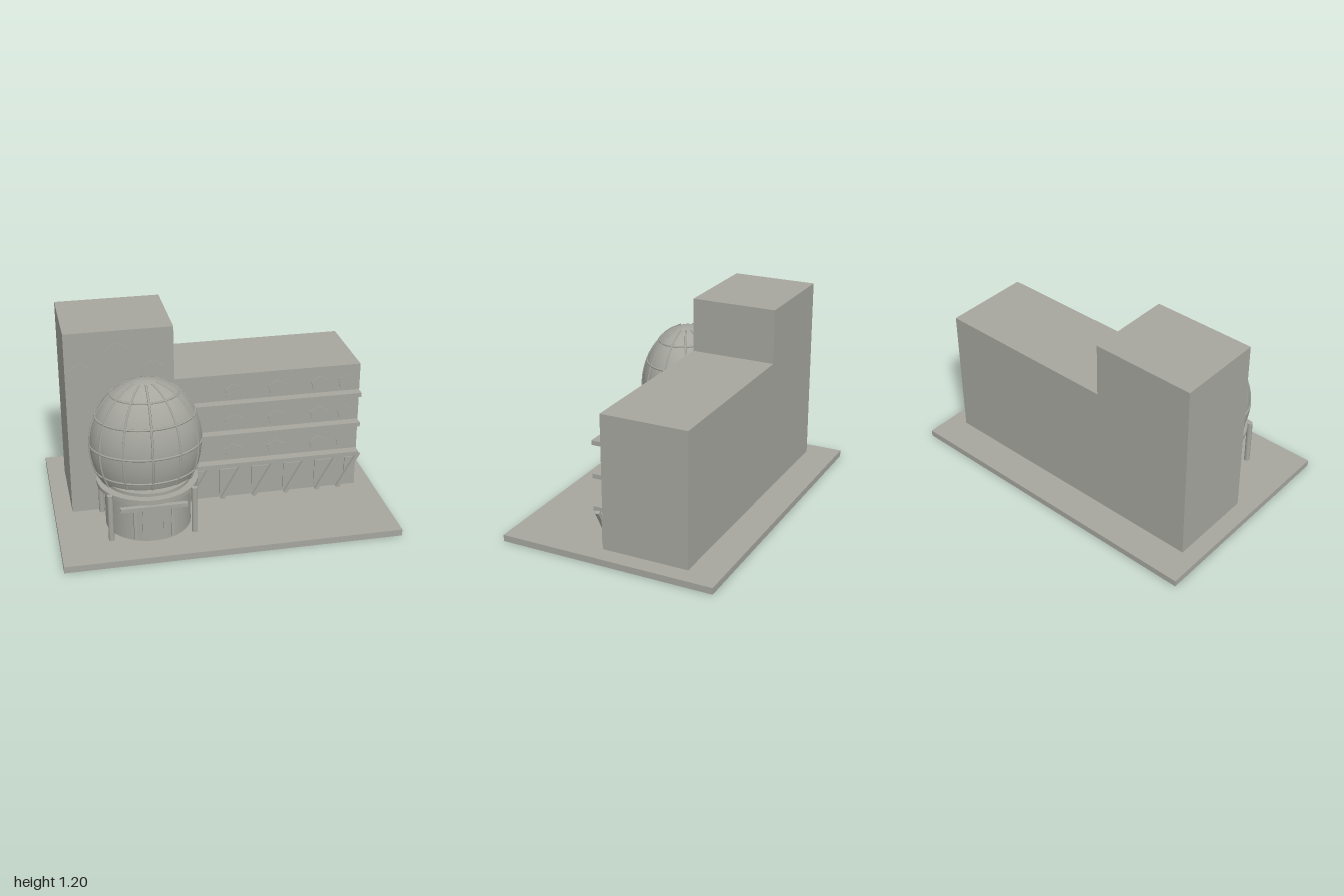
import * as THREE from 'three';

export function createModel() {
  const model = new THREE.Group();
  const stone = new THREE.MeshStandardMaterial({ color: 0xa6a69f });
  stone.name = 'warm grey';

  const add = (name, geo, x = 0, y = 0, z = 0, parent = model) => {
    const m = new THREE.Mesh(geo, stone);
    m.name = name;
    m.position.set(x, y, z);
    parent.add(m);
    return m;
  };
  // Box given by its limits on each axis
  const block = (name, x0, x1, y0, y1, z0, z1) =>
    add(name, new THREE.BoxGeometry(x1 - x0, y1 - y0, z1 - z0), (x0 + x1) / 2, (y0 + y1) / 2, (z0 + z1) / 2);

  // Ground slab and the two building blocks
  block('groundSlab', -1, 1, 0, 0.04, -0.667, 0.667);
  block('tower', -0.893, -0.255, 0.04, 1.2, -0.467, 0.067);
  block('wing', -0.255, 0.89, 0.04, 0.865, -0.467, 0.067);

  // Floor ledges along the wing
  for (const y of [0.27, 0.47, 0.67]) block('ledge', -0.255, 0.887, y, y + 0.026, 0.06, 0.125);

  // Five-sided window plates
  const outline = [[-1, 0.25], [-0.05, 0.95], [1, 0.3], [0.78, -0.8], [-0.75, -0.8]];
  const pentagon = (name, x, y, w, h) => {
    const shape = new THREE.Shape(outline.map(([a, b]) => new THREE.Vector2(a * w, b * h)));
    add(name, new THREE.ExtrudeGeometry(shape, { depth: 0.008, bevelEnabled: false }), x, y, 0.066);
  };
  for (const [x, y] of [[-0.803, 0.958], [-0.59, 1.068], [-0.378, 0.945]]) pentagon('towerWindow', x, y, 0.068, 0.064);
  for (const y of [0.36, 0.56, 0.76]) {
    for (const x of [0.105, 0.373, 0.64]) pentagon('wingWindow', x, y, 0.056, 0.048);
    pentagon('wingWindow', 0.8, y, 0.045, 0.048);
  }

  // Ground-floor windows and slanted braces under the lowest ledge
  for (const [x, w] of [[-0.113, 0.135], [0.087, 0.135], [0.29, 0.135], [0.49, 0.135], [0.69, 0.135], [0.852, 0.07]])
    block('groundWindow', x - w / 2, x + w / 2, 0.065, 0.235, 0.062, 0.074);
  for (const x of [-0.165, 0.035, 0.235, 0.437, 0.638, 0.775]) {
    const brace = add('brace', new THREE.BoxGeometry(0.022, 0.265, 0.022), x + 0.06, 0.155, 0.09);
    brace.rotation.z = -0.51;
  }

  // Round entrance hall with its rim and posts
  const cx = -0.453, cz = 0.235;
  add('entranceDrum', new THREE.CylinderGeometry(0.255, 0.255, 0.315, 48), cx, 0.1975, cz);
  add('rim', new THREE.CylinderGeometry(0.3, 0.3, 0.026, 48), cx, 0.322, cz);
  for (const s of [-1, 1]) {
    add('post', new THREE.CylinderGeometry(0.017, 0.017, 0.295, 12), cx + s * 0.247, 0.1875, 0.43);
    add('post', new THREE.CylinderGeometry(0.017, 0.017, 0.295, 12), cx + s * 0.263, 0.1875, 0.092);
    // Door jambs and side panels
    block('doorJamb', cx + s * 0.06 - 0.01, cx + s * 0.06 + 0.01, 0.05, 0.255, 0.46, 0.49);
    block('doorSide', cx + s * 0.11 - 0.009, cx + s * 0.11 + 0.009, 0.05, 0.255, 0.45, 0.482);
  }
  block('canopy', -0.65, -0.257, 0.255, 0.278, 0.478, 0.507);

  // Egg-shaped dome, narrower from front to back
  const dome = new THREE.Group();
  dome.name = 'dome';
  dome.position.set(cx, 0, 0.215);
  dome.scale.z = 0.81;
  model.add(dome);
  const R = 0.331, mid = 0.56, up = 0.388, down = 0.41;
  const radiusAt = y => R * Math.sqrt(Math.max(0, 1 - ((y - mid) / (y > mid ? up : down)) ** 2));
  const profile = [];
  for (let i = 0; i <= 28; i++) {
    const a = -Math.PI / 2 + (i / 28) * Math.PI;
    profile.push(new THREE.Vector2(Math.max(0, R * Math.cos(a)), mid + (a > 0 ? up : down) * Math.sin(a)));
  }
  add('domeShell', new THREE.LatheGeometry(profile, 48), 0, 0, 0, dome);

  // Dome ribs: level hoops and upright meridians
  for (const y of [0.4, 0.565, 0.74, 0.87]) {
    const hoop = add('domeHoop', new THREE.TorusGeometry(radiusAt(y), 0.007, 6, 48), 0, y, 0, dome);
    hoop.rotation.x = Math.PI / 2;
  }
  const ribPath = new THREE.CatmullRomCurve3(
    profile.filter(p => p.y > 0.29 && p.x > 0.04).map(p => new THREE.Vector3(p.x, p.y, 0)));
  const ribGeo = new THREE.TubeGeometry(ribPath, 28, 0.007, 6);
  for (let i = 0; i < 12; i++) add('domeRib', ribGeo, 0, 0, 0, dome).rotation.y = (i * Math.PI) / 6;

  return model;
}
